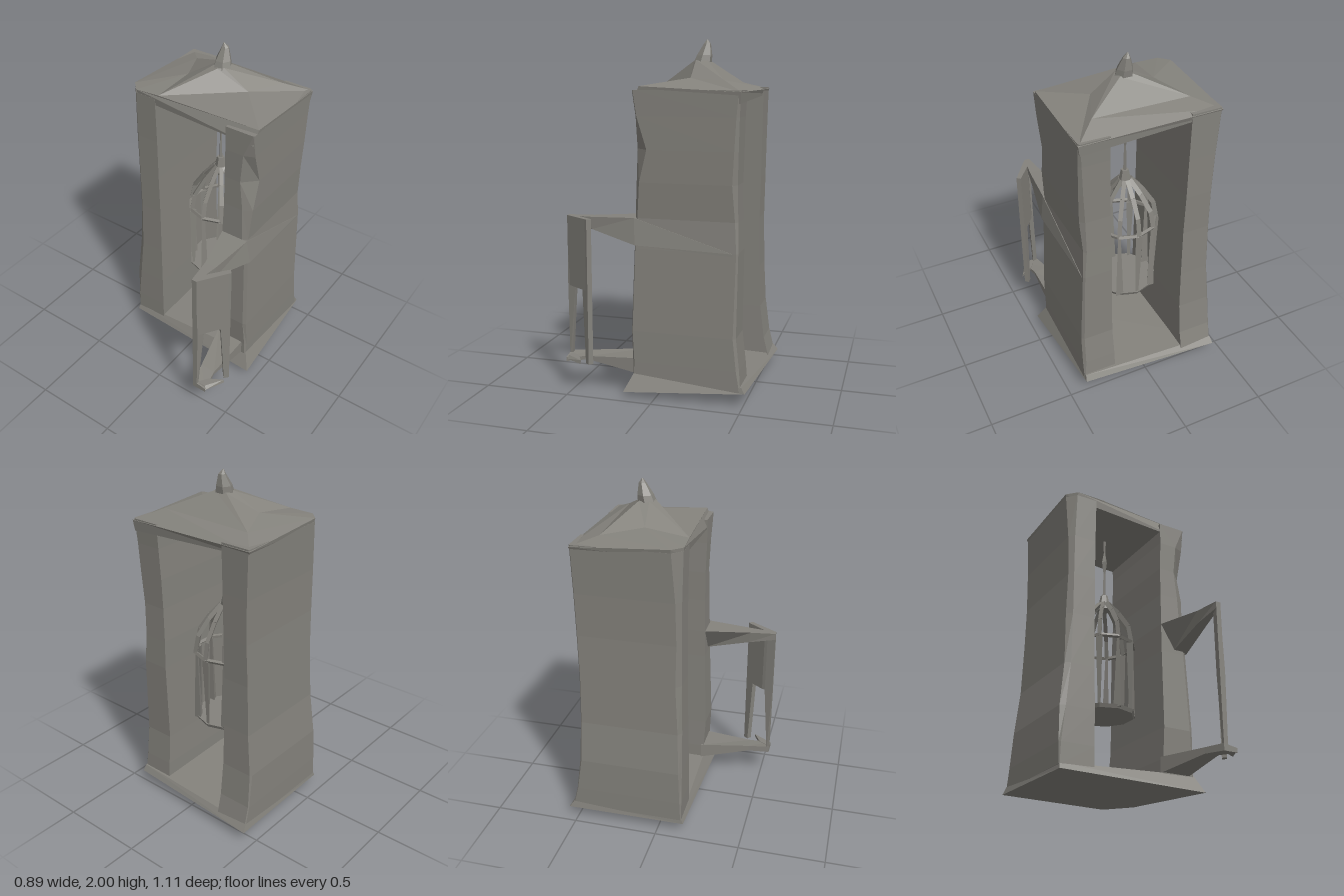
import * as THREE from 'three';

const stone = new THREE.MeshStandardMaterial({ color: 0x84827c });
stone.name = 'warm grey';

function add(parent, name, geometry) {
  const mesh = new THREE.Mesh(geometry, stone);
  mesh.name = name;
  parent.add(mesh);
  return mesh;
}

// Closed faceted solid through rings of [x, y, z] points, always facing outward
function loft(rings) {
  const n = rings[0].length;
  const tris = [];
  for (let r = 0; r < rings.length - 1; r++) {
    for (let i = 0; i < n; i++) {
      const j = (i + 1) % n;
      const [a, b, c, d] = [rings[r][i], rings[r][j], rings[r + 1][j], rings[r + 1][i]];
      tris.push([a, b, c], [a, c, d]);
    }
  }
  const last = rings[rings.length - 1];
  for (let i = 1; i < n - 1; i++) {
    tris.push([rings[0][0], rings[0][i + 1], rings[0][i]], [last[0], last[i], last[i + 1]]);
  }
  let volume = 0;
  for (const [a, b, c] of tris) {
    const [p, q, s] = [a, b, c].map((v) => new THREE.Vector3(...v));
    volume += p.dot(q.cross(s));
  }
  if (volume < 0) tris.forEach((t) => t.reverse());
  const geometry = new THREE.BufferGeometry();
  geometry.setAttribute('position', new THREE.Float32BufferAttribute(tris.flat(2), 3));
  geometry.computeVertexNormals();
  return geometry;
}

// Straight faceted rod between two points
function strut(parent, name, a, b, ra, rb, sides = 4) {
  const from = new THREE.Vector3(...a);
  const dir = new THREE.Vector3(...b).sub(from);
  const g = new THREE.CylinderGeometry(rb, ra, dir.length(), sides).toNonIndexed();
  g.computeVertexNormals();
  const mesh = add(parent, name, g);
  mesh.position.copy(from).addScaledVector(dir, 0.5);
  mesh.quaternion.setFromUnitVectors(new THREE.Vector3(0, 1, 0), dir.normalize());
}

// Horizontal ring of points from [x, z] pairs
const level = (y, pts) => pts.map(([x, z]) => [x, y, z]);

// Pillar wall; each row: y, outer x, inner x, front z, back z,
// chipped front corner width and depth, chipped back corner size
function wall(rows) {
  return loft(rows.map(([y, xo, xi, zf, zb, cw, cd, cb]) => {
    const s = Math.sign(xo);
    return level(y, [
      [xo - s * cb, zb], [xo, zb + cb], [xo, zf - cd], [xo - s * cw, zf], [xi, zf], [xi, zb],
    ]);
  }));
}

function createCage() {
  const cage = new THREE.Group();
  cage.name = 'hangingCage';
  cage.position.set(-0.01, 0, -0.17);
  const count = 10;
  const at = (i, r, y) => {
    const a = (i / count) * Math.PI * 2;
    return [Math.sin(a) * r, y, Math.cos(a) * r];
  };
  const dome = [[0.185, 0.93], [0.165, 1.04], [0.1, 1.14], [0.03, 1.22]];
  for (let i = 0; i < count; i++) {
    // Wedge-like bars, alternately wide at the foot and at the rim
    const [foot, rim] = i % 2 ? [0.01, 0.026] : [0.028, 0.01];
    strut(cage, 'cageBar', at(i, 0.175, 0.5), at(i, 0.178, 0.93), foot, rim, 3);
    strut(cage, 'cageRing', at(i, 0.185, 0.935), at(i + 1, 0.185, 0.935), 0.012, 0.012);
    for (let k = 0; k < 3; k++) {
      strut(cage, 'domeBar', at(i, ...dome[k]), at(i, ...dome[k + 1]), 0.016, 0.016, 3);
    }
  }
  strut(cage, 'cageFloor', [0, 0.49, 0], [0, 0.512, 0], 0.18, 0.19, count);
  strut(cage, 'cageCap', [0, 1.18, 0], [0, 1.28, 0], 0.042, 0.022, 6);
  // Hanging chain with a twisted link
  strut(cage, 'chainLower', [0, 1.27, 0], [0, 1.46, 0], 0.011, 0.006);
  strut(cage, 'chainLinkLower', [0, 1.44, 0], [0, 1.52, 0], 0.007, 0.018);
  strut(cage, 'chainLinkUpper', [0, 1.52, 0], [0, 1.59, 0], 0.018, 0.005);
  strut(cage, 'chainUpper', [0, 1.58, 0], [0, 1.7, 0], 0.005, 0.011);
  return cage;
}

function createHandle() {
  const handle = new THREE.Group();
  handle.name = 'sideHandle';
  // Upper arm, fading back into the pillar
  add(handle, 'upperArm', loft([
    [[0.37, 0.85, -0.43], [0.385, 0.85, -0.43], [0.385, 0.835, -0.43], [0.37, 0.835, -0.43]],
    [[0.21, 1.02, 0.13], [0.375, 1.02, 0.13], [0.395, 0.87, 0.12], [0.3, 0.87, 0.12]],
    [[0.28, 1.01, 0.4], [0.35, 1.01, 0.4], [0.35, 0.94, 0.39], [0.29, 0.94, 0.39]],
    [[0.3, 1.01, 0.55], [0.335, 1.01, 0.5], [0.335, 0.97, 0.5], [0.3, 0.97, 0.55]],
  ]));
  add(handle, 'lowerArm', loft([
    [[0.19, 0.21, 0.12], [0.37, 0.21, 0.12], [0.37, 0.12, 0.12], [0.19, 0.12, 0.12]],
    [[0.27, 0.2, 0.42], [0.36, 0.19, 0.42], [0.36, 0.17, 0.42], [0.27, 0.165, 0.42]],
    [[0.3, 0.195, 0.55], [0.385, 0.18, 0.55], [0.385, 0.155, 0.55], [0.3, 0.155, 0.55]],
  ]));
  add(handle, 'lowerHook', loft([
    level(0.17, [[0.32, 0.55], [0.385, 0.55], [0.445, 0.435], [0.36, 0.48]]),
    level(0.19, [[0.32, 0.54], [0.375, 0.535], [0.44, 0.435], [0.36, 0.48]]),
  ]));
  // Upright posts joined by a grip panel
  add(handle, 'frontPost', loft([
    level(0.16, [[0.3, 0.55], [0.325, 0.55], [0.325, 0.535], [0.3, 0.535]]),
    level(0.6, [[0.3, 0.55], [0.335, 0.55], [0.345, 0.5], [0.315, 0.5]]),
    level(1.01, [[0.3, 0.55], [0.325, 0.55], [0.345, 0.5], [0.315, 0.5]]),
  ]));
  add(handle, 'outerPost', loft([
    level(0.17, [[0.425, 0.365], [0.445, 0.385], [0.425, 0.41], [0.405, 0.39]]),
    level(0.6, [[0.425, 0.365], [0.445, 0.385], [0.41, 0.43], [0.39, 0.41]]),
    level(1.01, [[0.425, 0.365], [0.445, 0.385], [0.425, 0.41], [0.405, 0.39]]),
  ]));
  add(handle, 'gripPanel', loft([0.6, 1.01].map((y) =>
    level(y, [[0.305, 0.55], [0.33, 0.55], [0.44, 0.39], [0.42, 0.37], [0.335, 0.48]]))));
  return handle;
}

export function createModel() {
  const model = new THREE.Group();
  model.name = 'cageLantern';

  // Flared base with a shallow pointed underside
  add(model, 'base', loft([
    level(0, [[0.08, -0.36], [0.1, -0.36], [0.1, -0.34], [0.08, -0.34]]),
    [[-0.45, 0.06, -0.555], [0.4, 0.075, -0.51], [0.445, 0.03, 0.18], [-0.44, 0.055, 0.155]],
    [[-0.44, 0.1, -0.525], [0.395, 0.11, -0.49], [0.4, 0.13, 0.13], [-0.435, 0.09, 0.14]],
  ]));

  add(model, 'leftWall', wall([
    [0.08, 0.4, 0.2, 0.135, -0.485, 0.005, 0.005, 0.005],
    [0.2, 0.4, 0.2, 0.135, -0.475, 0.01, 0.01, 0.015],
    [0.38, 0.398, 0.205, 0.145, -0.455, 0.02, 0.01, 0.015],
    [0.85, 0.382, 0.21, 0.13, -0.46, 0.02, 0.01, 0.01],
    [1.02, 0.372, 0.21, 0.13, -0.455, 0.03, 0.02, 0.015],
    [1.22, 0.385, 0.215, 0.125, -0.45, 0.05, 0.03, 0.025],
    [1.4, 0.39, 0.215, 0.125, -0.455, 0.075, 0.075, 0.02],
    [1.58, 0.392, 0.22, 0.13, -0.46, 0.06, 0.025, 0.015],
    [1.72, 0.395, 0.22, 0.13, -0.468, 0.005, 0.005, 0.01],
  ]));
  add(model, 'rightWall', wall([
    [0.08, -0.44, -0.235, 0.143, -0.53, 0.005, 0.005, 0.005],
    [0.2, -0.441, -0.235, 0.143, -0.5, 0.01, 0.01, 0.005],
    [0.4, -0.438, -0.235, 0.14, -0.475, 0.03, 0.015, 0.01],
    [0.65, -0.412, -0.237, 0.135, -0.465, 0.03, 0.02, 0.005],
    [0.95, -0.405, -0.238, 0.13, -0.46, 0.03, 0.03, 0.005],
    [1.2, -0.4, -0.24, 0.13, -0.465, 0.025, 0.025, 0.005],
    [1.45, -0.405, -0.24, 0.13, -0.468, 0.03, 0.03, 0.005],
    [1.73, -0.418, -0.24, 0.135, -0.472, 0.05, 0.055, 0.005],
  ]));

  // Crooked roof with a folded ridge and one cut corner
  add(model, 'roof', loft([
    [[-0.41, 1.69, -0.465], [0.388, 1.65, -0.465], [0.388, 1.655, 0.125],
      [-0.365, 1.695, 0.13], [-0.41, 1.695, 0.075]],
    [[-0.422, 1.72, -0.475], [0.397, 1.71, -0.47], [0.397, 1.74, 0.09],
      [-0.365, 1.75, 0.137], [-0.42, 1.75, 0.08]],
    [[-0.3, 1.757, -0.34], [0.27, 1.772, -0.35], [0.18, 1.785, -0.14],
      [-0.22, 1.755, 0.13], [-0.2, 1.785, -0.12]],
    [[-0.04, 1.88, -0.2], [0.04, 1.88, -0.2], [0.03, 1.885, -0.13],
      [0, 1.88, -0.11], [-0.04, 1.88, -0.14]],
  ]));

  // Leaning finial
  const hex = (y, r, x, z) => level(y, Array.from({ length: 6 }, (_, i) => {
    const a = (i / 6) * Math.PI * 2;
    return [x + Math.cos(a) * r, z + Math.sin(a) * r];
  }));
  add(model, 'finial', loft([
    hex(1.86, 0.055, 0, -0.16), hex(1.91, 0.046, -0.003, -0.172),
    hex(1.975, 0.021, -0.003, -0.188), hex(2, 0.003, -0.01, -0.186),
  ]));

  model.add(createCage(), createHandle());
  return model;
}
